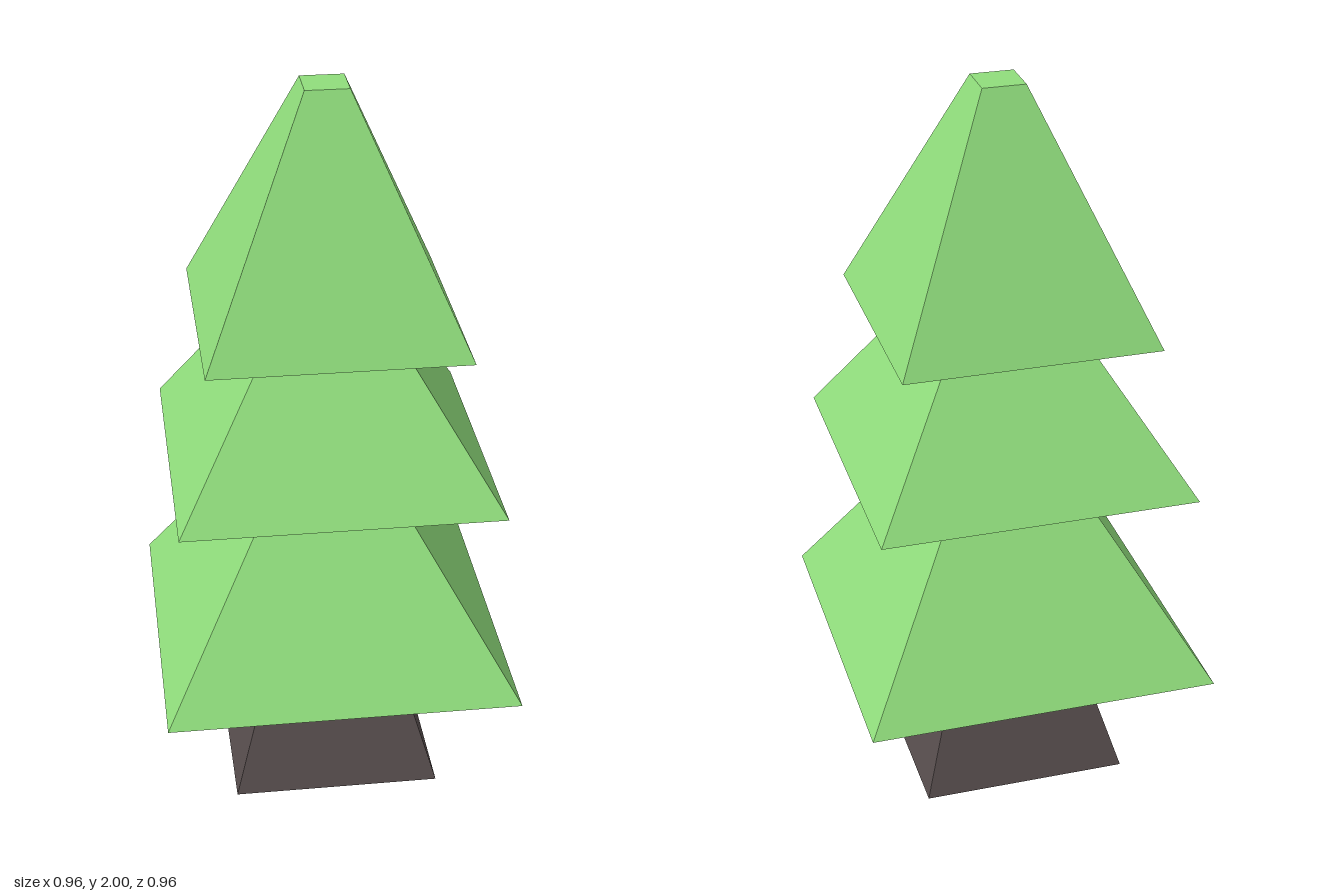
import * as THREE from 'three';

const foliage = new THREE.MeshStandardMaterial({ color: 0x90dd7c, flatShading: true, side: THREE.DoubleSide });
foliage.name = 'leafGreen';
const bark = new THREE.MeshStandardMaterial({ color: 0x584e4e, flatShading: true });
bark.name = 'barkBrown';

// Square-section solid from [half width, height] pairs, listed bottom to top
function squareProfile(name, profile, material) {
  const points = profile.map(([half, y]) => new THREE.Vector2(half * Math.SQRT2, y));
  const mesh = new THREE.Mesh(new THREE.LatheGeometry(points, 4, Math.PI / 4), material);
  mesh.name = name;
  return mesh;
}

export function createModel() {
  const tree = new THREE.Group();
  tree.name = 'tree';

  // Trunk: flared foot, then a slow taper up through the foliage
  tree.add(squareProfile('trunk', [[0, 0], [0.285, 0], [0.137, 0.49], [0.035, 1.96], [0, 1.96]], bark));

  // Hollow foliage skirts; the lower two close against the trunk, the top one has a flat cap
  tree.add(squareProfile('lowerFoliage', [[0.48, 0.38], [0.095, 1.015]], foliage));
  tree.add(squareProfile('middleFoliage', [[0.43, 0.94], [0.063, 1.526]], foliage));
  tree.add(squareProfile('topFoliage', [[0.345, 1.355], [0.058, 2], [0, 2]], foliage));

  return tree;
}
